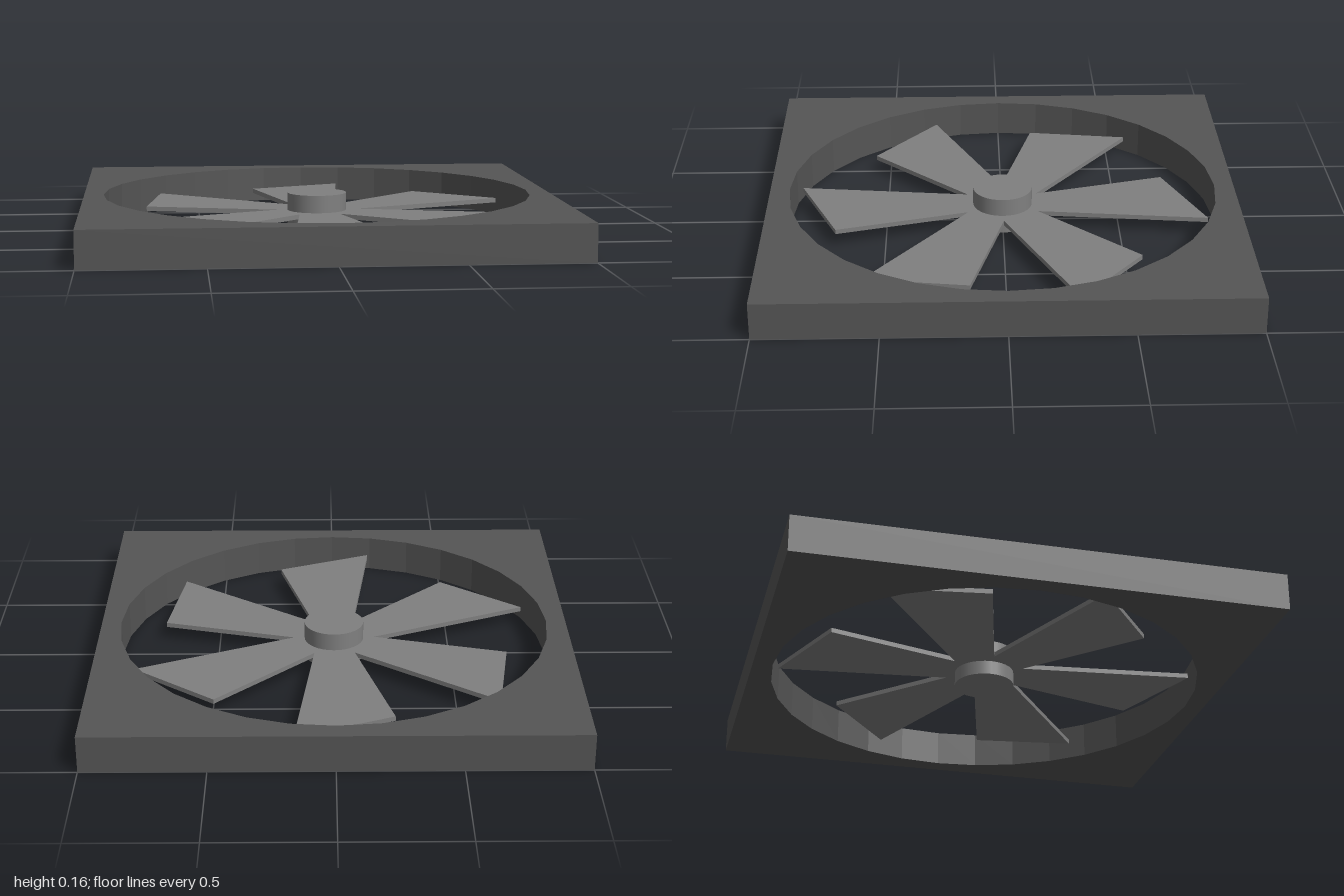
import * as THREE from 'three';

const HEIGHT = 0.155;

const polar = (r, degrees) => {
  const a = THREE.MathUtils.degToRad(degrees);
  return new THREE.Vector2(r * Math.cos(a), r * Math.sin(a));
};

// Extrude a plan shape upwards from the given height
function plate(name, shape, y, thickness, material) {
  const geometry = new THREE.ExtrudeGeometry(shape, { depth: thickness, bevelEnabled: false });
  geometry.rotateX(-Math.PI / 2);
  const mesh = new THREE.Mesh(geometry, material);
  mesh.name = name;
  mesh.position.y = y;
  return mesh;
}

export function createModel() {
  const group = new THREE.Group();
  group.name = 'fan';
  const dark = new THREE.MeshStandardMaterial({ color: 0x555555 });
  const grey = new THREE.MeshStandardMaterial({ color: 0x808080 });

  // Square frame with a 32-sided opening
  const square = new THREE.Shape([[-1, -1], [1, -1], [1, 1], [-1, 1]].map(([x, y]) => new THREE.Vector2(x, y)));
  const ring = [];
  for (let i = 0; i < 32; i++) ring.push(polar(0.917, -i * 11.25));
  square.holes.push(new THREE.Path(ring));
  group.add(plate('frame', square, 0, HEIGHT, dark));

  // Six flat blades with slanted tips, meeting in notches around the hub
  const outline = [];
  for (let i = 0; i < 6; i++) {
    const turn = i * 60;
    outline.push(polar(0.89, 79.2 + turn), polar(0.75, 108.7 + turn), polar(0.173, 120.6 + turn));
  }
  group.add(plate('blades', new THREE.Shape(outline), 0.06, 0.02, grey));

  // Round hub through the full height
  const hub = new THREE.Mesh(new THREE.CylinderGeometry(0.127, 0.127, HEIGHT, 32), grey);
  hub.name = 'hub';
  hub.position.y = HEIGHT / 2;
  group.add(hub);

  return group;
}
